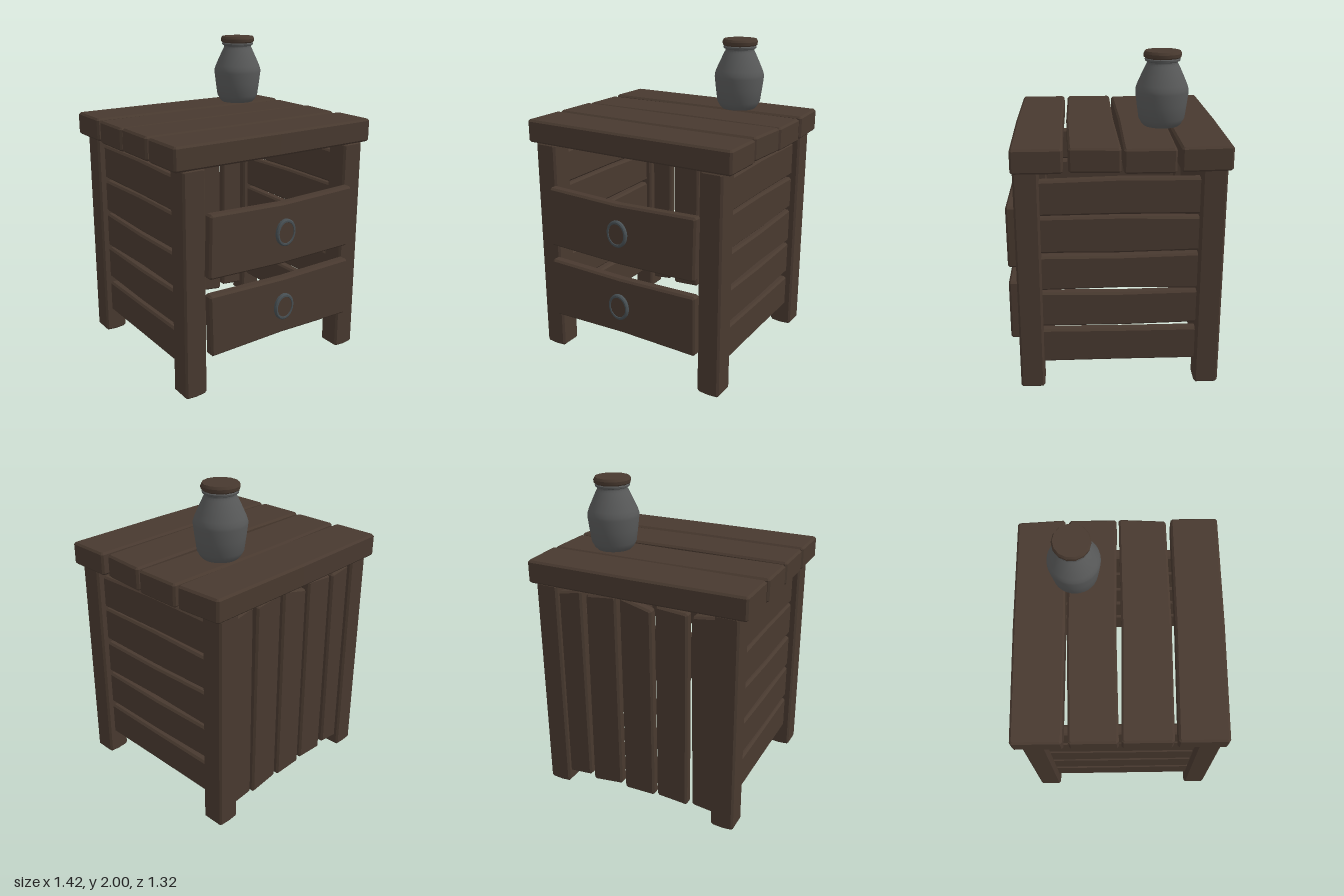
import * as THREE from 'three';
import { toCreasedNormals } from 'three/addons/utils/BufferGeometryUtils.js';

const mat = (name, color) => {
  const m = new THREE.MeshStandardMaterial({ color });
  m.name = name;
  return m;
};

// Bevelled plank in the u-v plane, extruded along +z from 0 to t.
// bottom and top are the edge heights at the start, middle and end;
// ends holds the u values of the four corners: bottom-left, bottom-right, top-right, top-left.
function plankGeometry(ends, bottom, top, t, c = 0.012) {
  const [a, b, d, e] = ends;
  const mid = (a + b) / 2;
  const outline = [
    [a + c, bottom[0]], [mid, bottom[1]], [b - c, bottom[2]], [b, bottom[2] + c],
    [d, top[2] - c], [d - c, top[2]], [mid, top[1]], [e + c, top[0]], [e, top[0] - c], [a, bottom[0] + c],
  ].map(([x, y]) => new THREE.Vector2(x, y));
  const g = new THREE.ExtrudeGeometry(new THREE.Shape(outline), {
    depth: t - 2 * c, bevelEnabled: true, bevelThickness: c, bevelSize: c, bevelOffset: -c, bevelSegments: 1,
  });
  return g.translate(0, 0, c);
}

const lathe = (points, segments, crease) => toCreasedNormals(
  new THREE.LatheGeometry(points.map(([r, y]) => new THREE.Vector2(r, y)), segments), crease);

export function createModel() {
  const root = new THREE.Group();
  root.name = 'nightstand';
  const wood = mat('dark wood', 0x48392f);
  const glass = mat('grey jar', 0x585959);
  const metal = mat('knob metal', 0x474f53);

  const add = (name, geometry, material, parent = root) => {
    const mesh = new THREE.Mesh(geometry, material);
    mesh.name = name;
    parent.add(mesh);
    return mesh;
  };

  // Four corner legs
  for (const s of [-1, 1]) {
    for (const [name, z] of [['frontLeg', 0.43], ['backLeg', -0.635]]) {
      const x0 = s * 0.5825 - 0.0725, x1 = x0 + 0.145;
      add(name, plankGeometry([x0, x1, x1, x0], [0.005, 0, 0.005], [1.395, 1.395, 1.395], 0.145), wood)
        .position.z = z;
    }
  }

  // Table top boards: corner x values, front edge z, back edge z, underside height
  const topBoards = [
    [[-0.71, 0.71, 0.71, -0.71], [0.582, 0.588, 0.582], [0.29, 0.297, 0.292], 1.39],
    [[-0.71, 0.695, 0.71, -0.71], [0.268, 0.275, 0.262], [-0.03, -0.022, -0.03], 1.39],
    [[-0.71, 0.71, 0.71, -0.71], [-0.045, -0.053, -0.043], [-0.33, -0.345, -0.338], 1.385],
    [[-0.71, 0.71, 0.695, -0.71], [-0.362, -0.355, -0.362], [-0.658, -0.662, -0.655], 1.39],
  ];
  for (const [ends, front, back, y] of topBoards) {
    const g = plankGeometry(ends, front.map((z) => -z), back.map((z) => -z), 0.143).rotateX(-Math.PI / 2);
    add('topBoard', g, wood).position.y = y;
  }

  // Horizontal slats on both sides
  const slats = [
    [[0.155, 0.155, 0.152], [0.375, 0.368, 0.365]],
    [[0.4, 0.395, 0.403], [0.622, 0.612, 0.618]],
    [[0.638, 0.645, 0.632], [0.855, 0.85, 0.86]],
    [[0.878, 0.872, 0.88], [1.097, 1.1, 1.088]],
    [[1.108, 1.112, 1.108], [1.318, 1.33, 1.325]],
  ];
  for (const x of [-0.61, 0.545]) {
    for (const [bottom, top] of slats) {
      const g = plankGeometry([-0.46, 0.52, 0.52, -0.46], bottom, top, 0.065).rotateY(Math.PI / 2);
      add('sideSlat', g, wood).position.x = x;
    }
  }

  // Vertical back planks with uneven ends
  const backPlanks = [
    [[-0.57, -0.37, -0.36, -0.57], 0.065, 0.085, 1.37, 1.345],
    [[-0.335, -0.13, -0.13, -0.335], 0.068, 0.08, 1.352, 1.367],
    [[-0.108, 0.1, 0.1, -0.105], 0.07, 0.068, 1.332, 1.378],
    [[0.125, 0.335, 0.328, 0.125], 0.085, 0.062, 1.378, 1.358],
    [[0.355, 0.57, 0.57, 0.36], 0.085, 0.068, 1.375, 1.338],
  ];
  for (const [ends, b0, b1, t0, t1] of backPlanks) {
    const g = plankGeometry(ends, [b0, (b0 + b1) / 2, b1], [t0, (t0 + t1) / 2, t1], 0.065);
    add('backPlank', g, wood).position.z = -0.605;
  }

  // Drawer fronts, each with an oval knob
  const drawers = [
    [[-0.528, 0.518, 0.525, -0.518], [0.755, 0.74, 0.748], [1.137, 1.12, 1.137], 0.942],
    [[-0.515, 0.525, 0.522, -0.525], [0.272, 0.285, 0.275], [0.657, 0.645, 0.655], 0.465],
  ];
  for (const [ends, bottom, top, knobY] of drawers) {
    add('drawerFront', plankGeometry(ends, bottom, top, 0.065), wood).position.z = 0.57;
    const knob = new THREE.Group();
    knob.name = 'drawerKnob';
    const ring = [[0.058, 0], [0.07, 0.005], [0.07, 0.019], [0.064, 0.025], [0.055, 0.025], [0.052, 0.018]];
    add('knobRing', lathe(ring, 24, 0.5), metal, knob);
    add('knobFace', new THREE.CylinderGeometry(0.054, 0.054, 0.021, 24).translate(0, 0.0105, 0), wood, knob);
    knob.rotation.x = Math.PI / 2;
    knob.scale.z = 1.2;
    knob.position.set(0, knobY, 0.633);
    root.add(knob);
  }

  // Jar with a wooden lid
  const jar = new THREE.Group();
  jar.name = 'jar';
  jar.position.set(0.305, 0, -0.29);
  root.add(jar);
  const body = [
    [0, 1.565], [0.105, 1.565], [0.118, 1.578], [0.136, 1.61], [0.147, 1.69], [0.156, 1.765], [0.155, 1.783],
    [0.146, 1.81], [0.12, 1.868], [0.098, 1.915], [0.09, 1.93], [0.09, 1.938], [0.102, 1.944],
    [0.104, 1.954], [0.098, 1.962], [0, 1.962],
  ];
  add('jarBody', lathe(body, 32, 0.5), glass, jar);
  const lid = [[0, 1.958], [0.1, 1.958], [0.11, 1.967], [0.112, 1.985], [0.104, 2], [0, 2]];
  add('jarLid', lathe(lid, 14, 0.55), wood, jar);

  return root;
}
